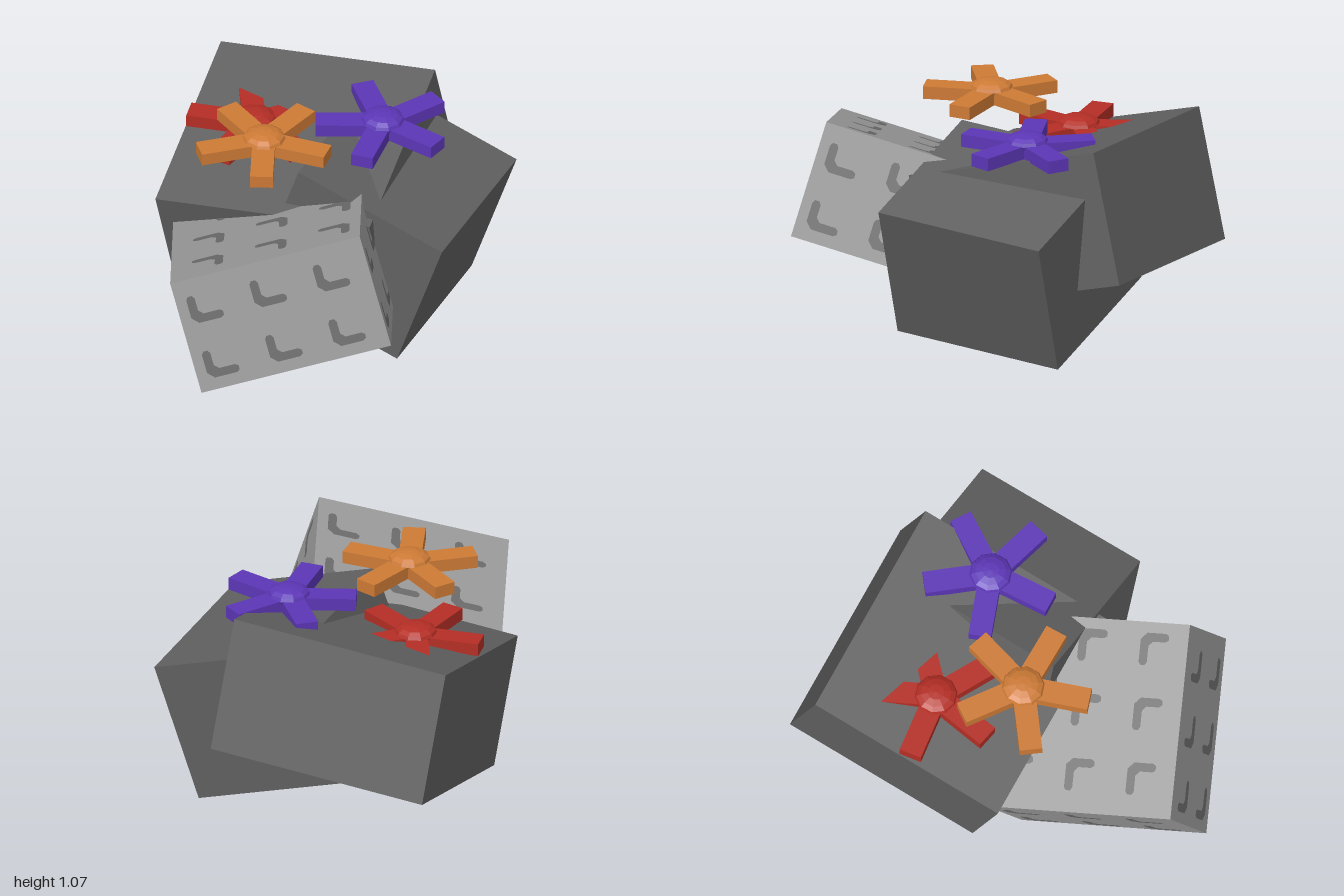
import * as THREE from 'three';

const mat = (name, color, extra = {}) => {
  const m = new THREE.MeshStandardMaterial({ color, ...extra });
  m.name = name;
  return m;
};
const V = (a) => new THREE.Vector3(...a);

// Block defined by its centre, its local x and y directions and its size
function makeBlock(name, centre, xDir, yDir, size, material) {
  const group = new THREE.Group();
  group.name = name;
  const x = V(xDir).normalize();
  const z = x.clone().cross(V(yDir)).normalize();
  const y = z.clone().cross(x);
  group.quaternion.setFromRotationMatrix(new THREE.Matrix4().makeBasis(x, y, z));
  group.position.set(...centre);
  const mesh = new THREE.Mesh(new THREE.BoxGeometry(...size), material);
  mesh.name = name + 'Body';
  group.add(mesh);
  return group;
}

// Thin L-shaped mark, centred on its cell
function markGeometry() {
  const pts = [
    [-0.10, 0.04], [-0.09, 0.055], [-0.07, 0.055], [-0.06, 0.04], [-0.06, -0.02], [-0.04, -0.04],
    [0.035, -0.04], [0.05, -0.05], [0.05, -0.07], [0.035, -0.08], [-0.07, -0.08], [-0.10, -0.05],
  ];
  return new THREE.ShapeGeometry(new THREE.Shape(pts.map(([x, y]) => new THREE.Vector2(x, y)).reverse()));
}

// Rows of marks on all six faces of a block
function addMarks(block, [w, h, d], material) {
  const geo = markGeometry();
  // u and v directions, face extents, rows, distance from centre
  const faces = [
    [[1, 0, 0], [0, 1, 0], w, h, 2, d],
    [[-1, 0, 0], [0, 1, 0], w, h, 2, d],
    [[0, 0, 1], [0, 1, 0], d, h, 2, w],
    [[0, 0, -1], [0, 1, 0], d, h, 2, w],
    [[-1, 0, 0], [0, 0, 1], w, d, 3, h],
    [[-1, 0, 0], [0, 0, -1], w, d, 3, h],
  ];
  for (const [uDir, vDir, uLen, vLen, rows, depth] of faces) {
    const u = V(uDir), v = V(vDir), n = u.clone().cross(v);
    const turn = new THREE.Matrix4().makeBasis(u, v, n);
    for (let i = 0; i < 3; i++) {
      for (let j = 0; j < rows; j++) {
        const mark = new THREE.Mesh(geo, material);
        mark.name = 'mark';
        mark.quaternion.setFromRotationMatrix(turn);
        mark.position.copy(n).multiplyScalar(depth / 2 + 0.003)
          .addScaledVector(u, uLen * ((i + 0.5) / 3 - 0.5))
          .addScaledVector(v, vLen * ((j + 0.5) / rows - 0.5));
        block.add(mark);
      }
    }
  }
}

// Flat flower with five straight petals and a faceted dome
function makeFlower(name, centre, startDegrees, material) {
  const flower = new THREE.Group();
  flower.name = name;
  flower.position.set(...centre);
  const petal = new THREE.BoxGeometry(0.31, 0.06, 0.105).translate(0.155, 0, 0);
  for (let i = 0; i < 5; i++) {
    const mesh = new THREE.Mesh(petal, material);
    mesh.name = 'petal';
    mesh.rotation.y = THREE.MathUtils.degToRad(startDegrees + i * 72);
    flower.add(mesh);
  }
  const dome = new THREE.Mesh(new THREE.SphereGeometry(0.1, 10, 8), material);
  dome.name = 'flowerCentre';
  dome.scale.y = 0.42;
  dome.position.y = 0.028;
  flower.add(dome);
  return flower;
}

export function createModel() {
  const darkStone = mat('dark stone', 0x606060);
  const lightStone = mat('light stone', 0x999999);
  const markGrey = mat('mark grey', 0x6a6a6a);
  const flat = { flatShading: true };
  const orange = mat('orange', 0xcd7a35, flat);
  const red = mat('red', 0xb42e25, flat);
  const purple = mat('purple', 0x5c36b6, flat);

  const model = new THREE.Group();
  model.name = 'flowerBlocks';

  // Three tumbled blocks
  model.add(makeBlock('leftBlock', [-0.205, 0.55, -0.305], [0.99, 0.09, -0.33], [0, 0.6, 0.17],
    [1.047, 0.624, 0.978], darkStone));
  model.add(makeBlock('rightBlock', [0.21, 0.48, -0.36], [0.7, -0.24, -0.175], [0.2, 0.64, -0.08],
    [0.76, 0.675, 0.86], darkStone));
  const size = [0.9, 0.55, 0.89];
  const front = makeBlock('frontBlock', [0.17, 0.505, 0.35], [0.65, 0.23, -0.575], [-0.2, 0.51, -0.025],
    size, lightStone);
  addMarks(front, size, markGrey);
  model.add(front);

  // Flowers lying on top
  model.add(makeFlower('orangeFlower', [-0.125, 1.02, 0.11], 90, orange));
  model.add(makeFlower('redFlower', [-0.405, 0.85, -0.175], 61, red));
  model.add(makeFlower('purpleFlower', [0.155, 0.955, -0.415], 2, purple));
  return model;
}
